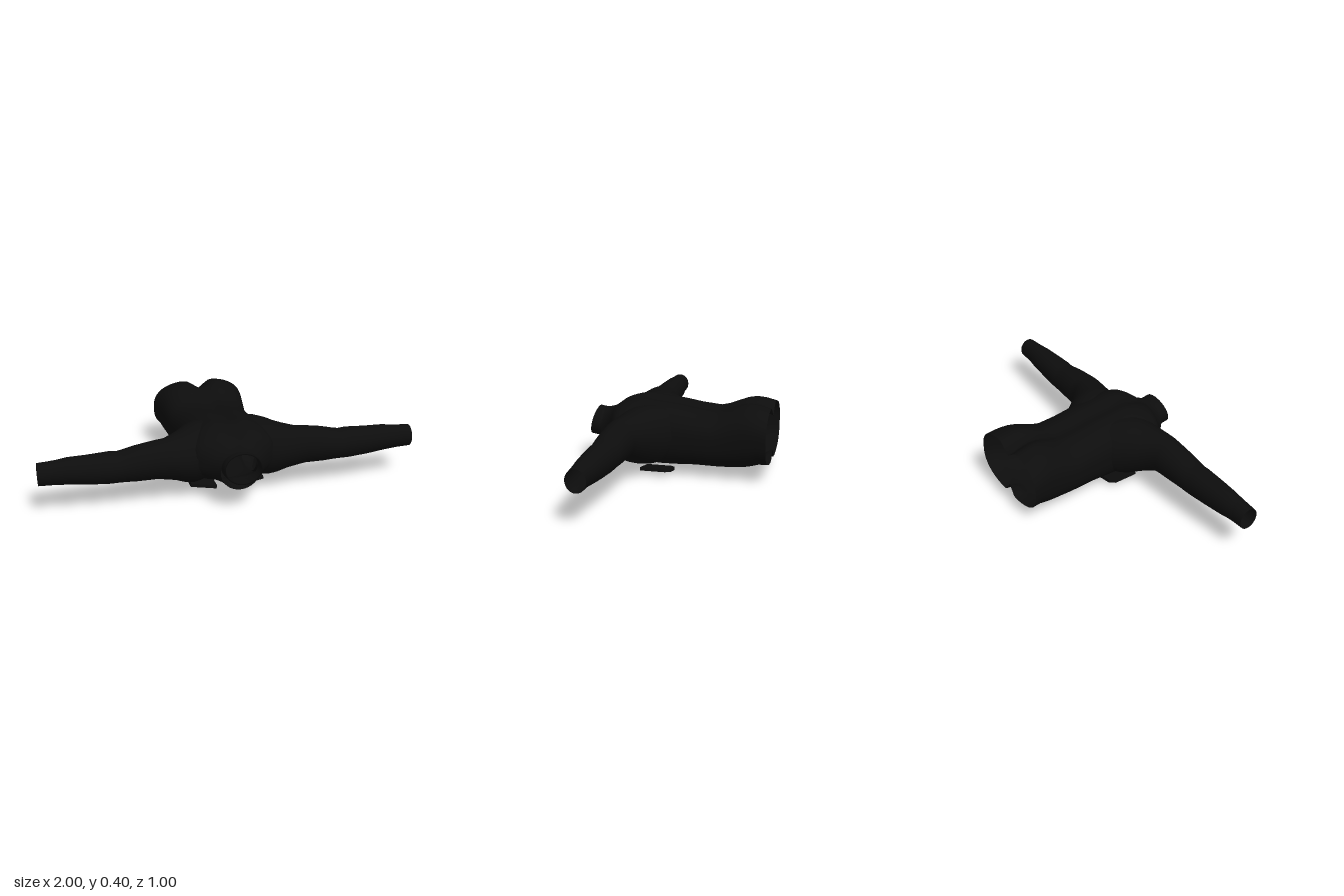
import * as THREE from 'three';

const cloth = new THREE.MeshStandardMaterial({ color: 0x0d0d0d, side: THREE.DoubleSide });
cloth.name = 'black cloth';

// Skins closed rings of points into an open tube; skip(p) leaves holes.
function loft(rings, skip = () => false) {
  const n = rings[0].length, index = [];
  for (let i = 0; i < rings.length - 1; i++) {
    for (let j = 0; j < n; j++) {
      if (skip(rings[i][j])) continue;
      const k = (j + 1) % n;
      const a = i * n + j, b = i * n + k, c = b + n, d = a + n;
      index.push(a, b, c, a, c, d);
    }
  }
  const g = new THREE.BufferGeometry();
  g.setAttribute('position', new THREE.Float32BufferAttribute(
    rings.flat().flatMap((p) => [p.x, p.y, p.z]), 3));
  g.setIndex(index);
  g.computeVertexNormals();
  return g;
}

function ring(n, f) {
  return Array.from({ length: n }, (_, j) => f((j / n) * Math.PI * 2));
}

const power = (v, e) => Math.sign(v) * Math.abs(v) ** e;

// Torso sections from hem to neck: z, half width, lowest y, highest y
const TORSO = [
  [-0.5, 0.26, 0.08, 0.385], [-0.45, 0.252, 0.077, 0.4], [-0.42, 0.248, 0.067, 0.405],
  [-0.39, 0.243, 0.058, 0.407], [-0.35, 0.237, 0.052, 0.4], [-0.3, 0.23, 0.048, 0.381],
  [-0.25, 0.224, 0.045, 0.361], [-0.2, 0.22, 0.045, 0.35], [-0.1, 0.215, 0.045, 0.361],
  [0, 0.216, 0.04, 0.378], [0.08, 0.22, 0.039, 0.386], [0.14, 0.222, 0.042, 0.392],
  [0.17, 0.222, 0.05, 0.396], [0.2, 0.222, 0.065, 0.397], [0.24, 0.222, 0.087, 0.392],
  [0.28, 0.22, 0.109, 0.38], [0.31, 0.215, 0.122, 0.369], [0.335, 0.198, 0.124, 0.357],
  [0.355, 0.168, 0.121, 0.343], [0.38, 0.136, 0.117, 0.325], [0.41, 0.112, 0.112, 0.317],
  [0.43, 0.105, 0.108, 0.314],
];

function torso() {
  const rings = TORSO.map(([z, w, lo, hi]) => {
    const neck = THREE.MathUtils.smoothstep(z, 0.3, 0.42);
    const e = 2 / (2.6 - 0.6 * neck);
    const seat = THREE.MathUtils.smoothstep(-z, 0.25, 0.5);
    const hem = THREE.MathUtils.smoothstep(-z, 0.4, 0.5);
    return ring(72, (a) => {
      const x = w * power(Math.cos(a), e);
      let y = (lo + hi) / 2 + ((hi - lo) / 2) * power(Math.sin(a), e);
      // spine and seat crease above, short front vent below
      if (Math.sin(a) > 0) y -= ((1 - neck) * 0.02 + seat * 0.04) * Math.exp(-((x / 0.045) ** 2));
      else y += hem * 0.06 * Math.exp(-((x / 0.025) ** 2));
      return new THREE.Vector3(x, y, z);
    });
  });
  // armholes leading into the sleeves
  return loft(rings, (p) => Math.abs(p.x) > 0.12
    && ((p.z - 0.24) / 0.085) ** 2 + ((p.y - 0.228) / 0.085) ** 2 < 1);
}

// Sleeve sections from inside the torso to the cuff: x, lowest y, highest y, back z, front z
const SLEEVE = [
  [0.12, 0.085, 0.375, -0.06, 0.315], [0.16, 0.07, 0.38, -0.04, 0.325],
  [0.2, 0.068, 0.374, -0.01, 0.333], [0.225, 0.075, 0.368, 0.01, 0.336],
  [0.25, 0.086, 0.361, 0.045, 0.338], [0.3, 0.112, 0.351, 0.095, 0.34],
  [0.35, 0.129, 0.345, 0.145, 0.338], [0.4, 0.138, 0.34, 0.15, 0.336],
  [0.5, 0.139, 0.326, 0.16, 0.334], [0.56, 0.143, 0.312, 0.165, 0.332],
  [0.6, 0.144, 0.304, 0.167, 0.331], [0.64, 0.143, 0.309, 0.17, 0.329],
  [0.75, 0.152, 0.304, 0.178, 0.325], [0.85, 0.163, 0.302, 0.185, 0.316],
  [0.9, 0.168, 0.296, 0.194, 0.311], [0.94, 0.171, 0.292, 0.198, 0.308],
];
const CUFF = [[0.925, 0.17, 0.294, 0.197, 0.309], [0.94, 0.17, 0.293, 0.198, 0.308],
  [1, 0.172, 0.289, 0.2, 0.305]];

function tubeAlongX(sections, side) {
  return loft(sections.map(([x, lo, hi, back, front]) => ring(32, (a) => new THREE.Vector3(
    side * x,
    (lo + hi) / 2 + ((hi - lo) / 2) * Math.cos(a),
    (back + front) / 2 + side * ((front - back) / 2) * Math.sin(a)))));
}

// Slanted stand-up collar: each section gives low and high edge as (y, z)
function collar() {
  const sections = [[0.1, 0.155, 0.43, 0.312, 0.41], [0.099, 0.158, 0.455, 0.315, 0.43],
    [0.098, 0.165, 0.5, 0.321, 0.465], [0.092, 0.172, 0.498, 0.313, 0.463],
    [0.093, 0.165, 0.43, 0.305, 0.41]];
  return loft(sections.map(([w, y0, z0, y1, z1]) => ring(32, (a) => {
    const t = (Math.sin(a) + 1) / 2;
    return new THREE.Vector3(w * Math.cos(a), y0 + (y1 - y0) * t, z0 + (z1 - z0) * t);
  })));
}

// Patch pocket with clipped lower corners
function pocket() {
  const s = new THREE.Shape([[-0.072, 0.08], [-0.072, -0.055], [-0.045, -0.08],
    [0.045, -0.08], [0.072, -0.055], [0.072, 0.08]].map((p) => new THREE.Vector2(...p)));
  const g = new THREE.ExtrudeGeometry(s, { depth: 0.018, bevelEnabled: false });
  g.translate(0, 0, -0.009);
  return g.rotateX(Math.PI / 2).scale(1, 1, 1);
}

export function createModel() {
  const model = new THREE.Group();
  model.name = 'jacket';
  const add = (name, geometry) => {
    const mesh = new THREE.Mesh(geometry, cloth);
    mesh.name = name;
    model.add(mesh);
    return mesh;
  };
  add('torso', torso());
  add('collar', collar());
  for (const [side, label] of [[1, 'left'], [-1, 'right']]) {
    add(label + 'Sleeve', tubeAlongX(SLEEVE, side));
    add(label + 'Cuff', tubeAlongX(CUFF, side));
    const p = add(label + 'Pocket', pocket());
    p.position.set(side * 0.13, 0.025, 0.1);
    p.rotation.z = side * 0.19;
  }
  return model;
}
